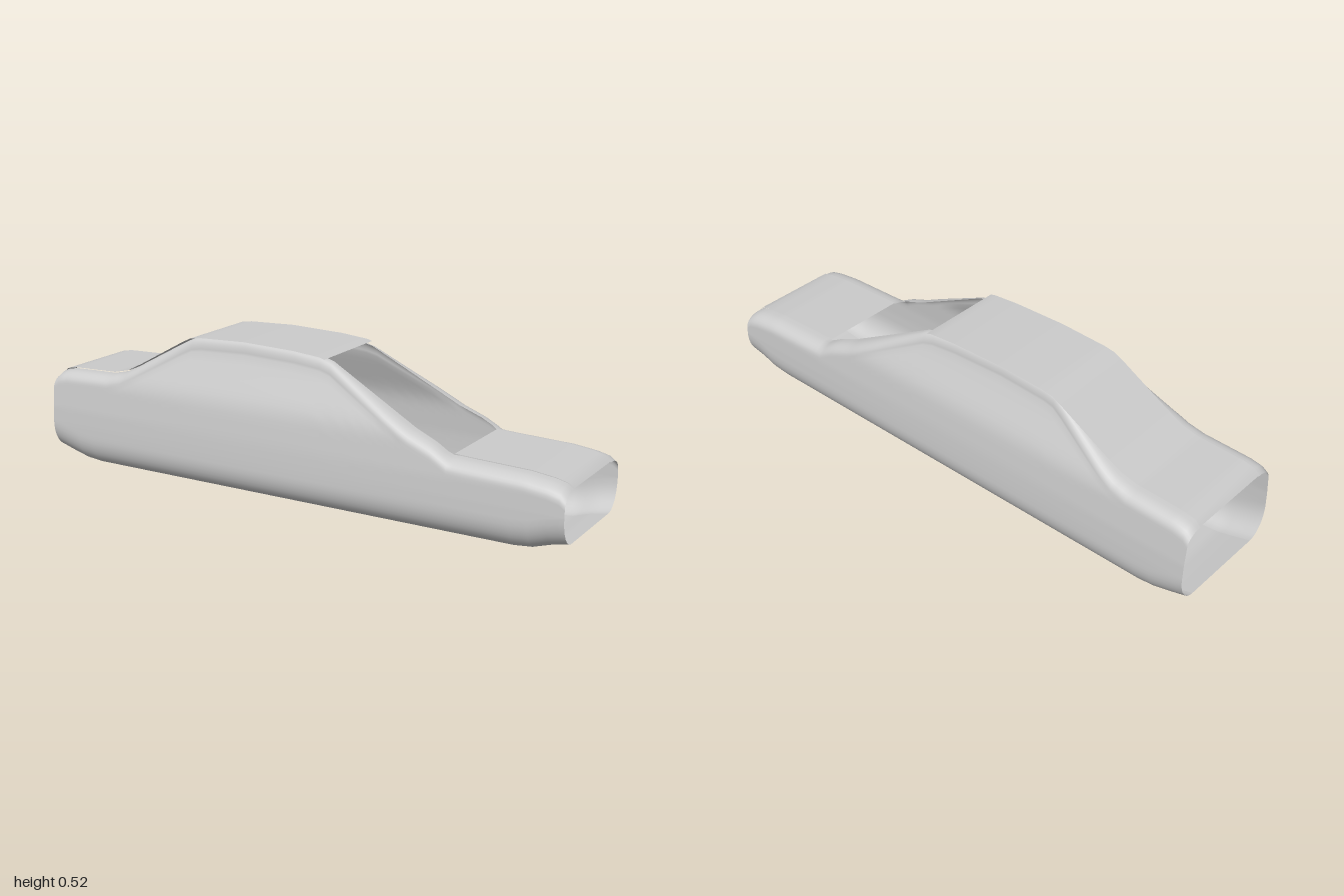
import * as THREE from 'three';

const material = new THREE.MeshStandardMaterial({ color: 0xcccccc, side: THREE.DoubleSide });

// Piecewise-linear lookup in a list of [key, value] pairs
function lookup(table, t) {
  if (t <= table[0][0]) return table[0][1];
  for (let i = 1; i < table.length; i++) {
    const [a, va] = table[i - 1], [b, vb] = table[i];
    if (t <= b) return va + (vb - va) * (t - a) / (b - a);
  }
  return table[table.length - 1][1];
}

// Side outline of the car: height of the top and of the underside along x
const TOP = [[-1, 0.315], [-0.98, 0.332], [-0.94, 0.34], [-0.76, 0.346], [-0.7, 0.36], [-0.64, 0.39],
  [-0.46, 0.49], [-0.42, 0.51], [-0.38, 0.516], [-0.2, 0.523], [0, 0.517], [0.1, 0.508], [0.14, 0.497],
  [0.46, 0.327], [0.54, 0.294], [0.6, 0.26], [0.66, 0.257], [0.86, 0.25], [0.94, 0.24], [0.98, 0.23], [1, 0.215]];
const BOTTOM = [[-1, 0.04], [-0.94, 0.022], [-0.88, 0.006], [-0.82, 0], [0.82, 0], [0.88, 0.006], [0.94, 0.025], [1, 0.037]];
// Half width at each height, and the inner edge of the shoulder along x
const WIDTH = [[0.14, 0.23], [0.2, 0.228], [0.3, 0.218], [0.33, 0.21], [0.35, 0.202], [0.44, 0.164], [0.49, 0.145]];
const INNER = [[-0.74, 0.155], [-0.4, 0.13], [0.12, 0.127], [0.58, 0.167], [0.62, 0.155]];

// Smooth sheet through equal-length rows of points
function sheet(name, rows, flip) {
  const n = rows[0].length, index = [];
  for (let i = 0; i < rows.length - 1; i++) {
    for (let j = 0; j < n - 1; j++) {
      const a = i * n + j, b = a + 1, c = a + n, d = c + 1;
      if (flip) index.push(a, b, c, b, d, c);
      else index.push(a, c, b, b, c, d);
    }
  }
  const geometry = new THREE.BufferGeometry();
  geometry.setAttribute('position', new THREE.Float32BufferAttribute(rows.flat(2), 3));
  geometry.setIndex(index);
  geometry.computeVertexNormals();
  const mesh = new THREE.Mesh(geometry, material);
  mesh.name = name;
  return mesh;
}

// Stations along the length
function stations(from, to) {
  const count = Math.round((to - from) / 0.02);
  return Array.from({ length: count + 1 }, (_, i) => from + (to - from) * i / count);
}

// Half section: rounded sill, tall flank, rounded shoulder
function sideSection(x, sign) {
  const top = lookup(TOP, x) - 0.004, bottom = lookup(BOTTOM, x), points = [];
  const sill = bottom + 0.1, shoulder = top - 0.045, inner = lookup(INNER, x);
  const add = (y, z) => points.push([x, y, sign * z]);
  for (let i = 0; i < 10; i++) {
    const a = i / 10 * Math.PI / 2;
    add(sill - 0.1 * Math.cos(a), 0.16 + 0.07 * Math.sin(a));
  }
  for (let i = 0; i <= 14; i++) {
    const y = sill + (shoulder - sill) * i / 14;
    add(y, lookup(WIDTH, y));
  }
  const wide = lookup(WIDTH, shoulder);
  for (let i = 1; i <= 8; i++) {
    const a = i / 8 * Math.PI / 2;
    add(shoulder + 0.045 * Math.sin(a), inner + (wide - inner) * Math.pow(Math.max(0, Math.cos(a)), 0.8));
  }
  return points;
}

// Flat strip across the car that follows an outline
function strip(name, table, from, to, flip) {
  const rows = stations(from, to).map((x) => [0.16, 0, -0.16].map((z) => [x, lookup(table, x), z]));
  return sheet(name, rows, flip);
}

export function createModel() {
  const car = new THREE.Group();
  car.name = 'carBody';

  // Mirrored flanks, open at both ends and at the windscreen
  for (const [name, sign] of [['leftSide', 1], ['rightSide', -1]]) {
    car.add(sheet(name, stations(-1, 1).map((x) => sideSection(x, sign)), sign < 0));
  }

  // Boot lid, rear window and roof form one strip; the bonnet and floor are separate
  car.add(strip('roofAndBoot', TOP, -1, 0.12, false));
  car.add(strip('bonnet', TOP, 0.6, 1, false));
  car.add(strip('floor', BOTTOM, -1, 1, true));
  return car;
}
